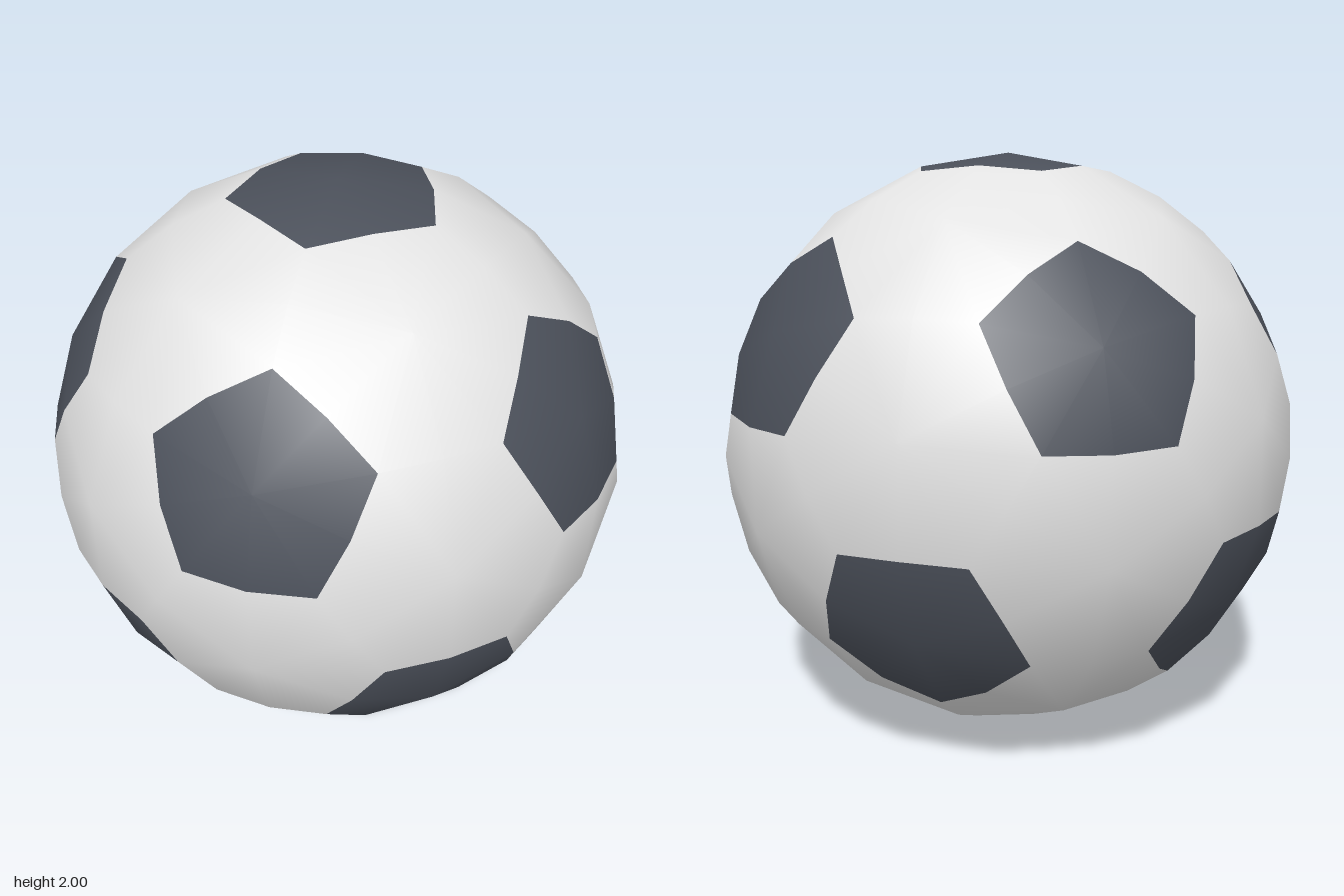
import * as THREE from 'three';

const deg = Math.PI / 180;
const CORNER = 20.6 * deg; // pentagon centre to pentagon corner
const EDGE = 17.5 * deg;   // pentagon centre to middle of its edge

// Unit vector reached by turning from a towards b by an angle
function toward(a, b, angle) {
  const side = b.clone().addScaledVector(a, -a.dot(b)).normalize();
  return a.clone().multiplyScalar(Math.cos(angle)).addScaledVector(side, Math.sin(angle));
}

const middle = (...points) =>
  points.reduce((sum, p) => sum.add(p), new THREE.Vector3()).normalize();

// Domed panel: a fan from the centre to its ring, with smooth ball normals
function panelGeometry(center, ring) {
  const u = toward(center, ring[0], Math.PI / 2);
  const v = center.clone().cross(u);
  const angle = (p) => Math.atan2(p.dot(v), p.dot(u));
  const points = [center, ...[...ring].sort((p, q) => angle(p) - angle(q))];
  const flat = points.flatMap((p) => p.toArray());
  const index = ring.flatMap((_, i) => [0, i + 1, ((i + 1) % ring.length) + 1]);
  const geometry = new THREE.BufferGeometry();
  geometry.setAttribute('position', new THREE.Float32BufferAttribute(flat, 3));
  geometry.setAttribute('normal', new THREE.Float32BufferAttribute(flat, 3));
  geometry.setIndex(index);
  return geometry;
}

export function createModel() {
  const white = new THREE.MeshStandardMaterial({ color: 0xe3e3e3 });
  white.name = 'white leather';
  const dark = new THREE.MeshStandardMaterial({ color: 0x4b505a });
  dark.name = 'dark leather';

  const ball = new THREE.Group();
  ball.name = 'ball';
  ball.position.y = 1;

  const addPanel = (name, center, ring, material) => {
    const mesh = new THREE.Mesh(panelGeometry(center, ring), material);
    mesh.name = name;
    ball.add(mesh);
  };

  // Twelve pentagon centres: two poles and two staggered rings of five
  const axes = [new THREE.Vector3(0, 1, 0), new THREE.Vector3(0, -1, 0)];
  const height = Math.sqrt(1 / 5), radius = Math.sqrt(4 / 5);
  for (let i = 0; i < 5; i++) {
    const a = i * 72 * deg;
    const p = new THREE.Vector3(radius * Math.cos(a), height, radius * Math.sin(a));
    axes.push(p, p.clone().negate());
  }
  const near = (a, b) => a !== b && a.dot(b) > 0.4;

  // Dark pentagons
  for (const a of axes) {
    const around = axes.filter((b) => near(a, b));
    const ring = around.map((b) => toward(a, b, CORNER));
    around.forEach((b, i) => around.slice(i + 1).forEach((c) => {
      if (near(b, c)) ring.push(toward(a, middle(b, c), EDGE));
    }));
    addPanel('pentagonPanel', a, ring, dark);
  }

  // White hexagons between every three neighbouring pentagons
  axes.forEach((a, i) => axes.forEach((b, j) => axes.forEach((c, k) => {
    if (!(i < j && j < k && near(a, b) && near(b, c) && near(a, c))) return;
    const ring = [];
    for (const [p, q, r] of [[a, b, c], [b, c, a], [c, a, b]]) {
      ring.push(toward(p, q, CORNER), toward(p, r, CORNER));
      ring.push(toward(p, middle(q, r), EDGE), middle(p, q));
    }
    addPanel('hexagonPanel', middle(a, b, c), ring, white);
  })));

  const model = new THREE.Group();
  model.name = 'football';
  model.add(ball);
  return model;
}
